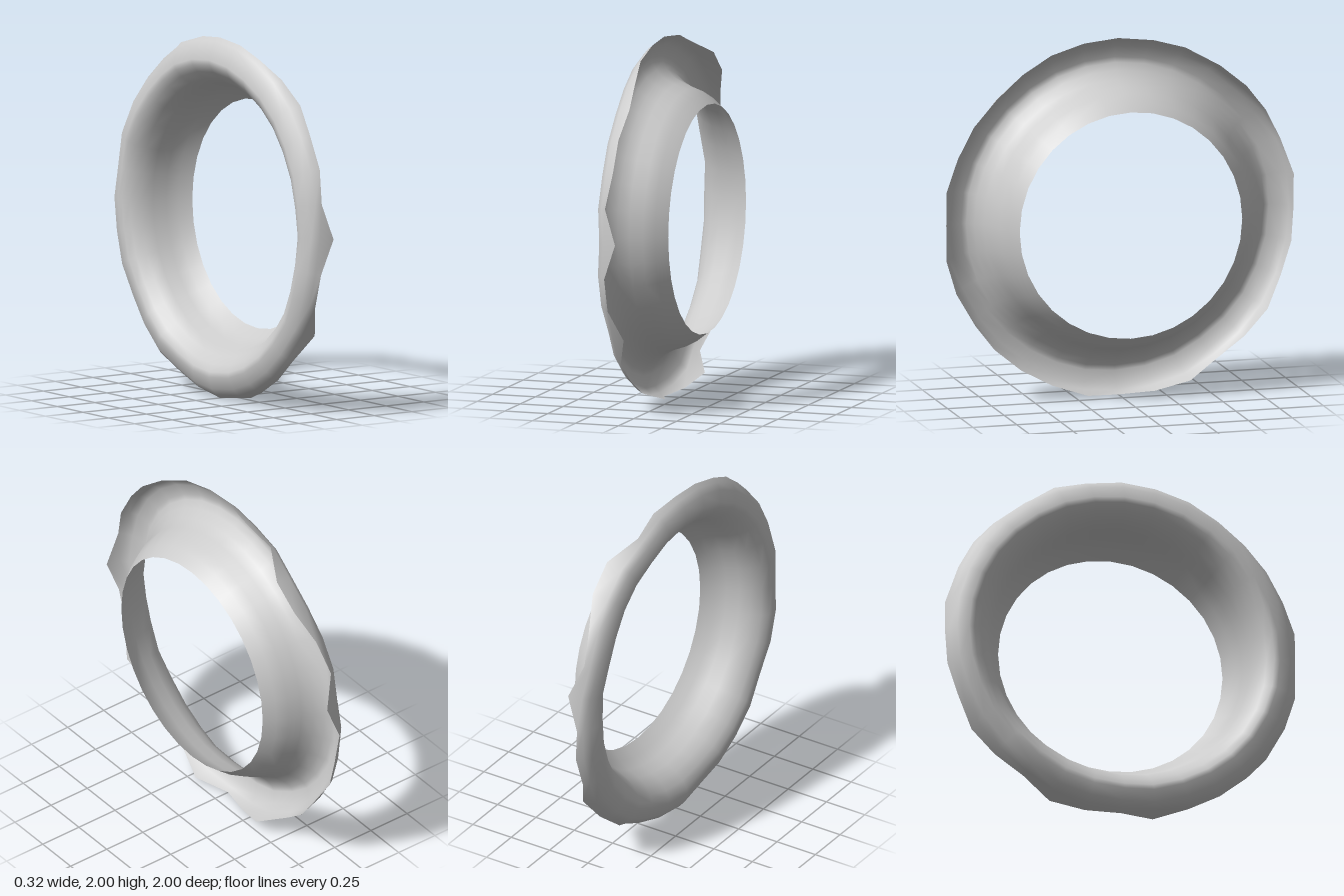
import * as THREE from 'three';

// Ring cross-section as [x, radius], from the collar's open end out to the flange shoulder
const PROFILE = [
  [0.16, 0.635], [0.10, 0.682], [0.04, 0.714], [-0.03, 0.738], [-0.09, 0.768],
  [-0.135, 0.81], [-0.16, 0.85], [-0.165, 0.88], [-0.145, 0.945], [-0.115, 0.98],
];
// How strongly each profile ring follows the uneven rim
const FOLLOW = [0, 0, 0, 0, 0.05, 0.1, 0.15, 0.17, 0.2, 0.25];

// x of the ragged outer rim, clockwise from the top towards +z
const RIM = [
  -0.09, -0.09, -0.09, -0.06, -0.04, -0.06, -0.06, -0.085,
  -0.02, -0.09, -0.09, -0.03, -0.09, -0.085, -0.075, -0.015,
  -0.09, -0.04, 0.01, -0.08, -0.05, -0.02, -0.08, -0.07,
  -0.09, -0.02, -0.09, -0.06, -0.005, 0, -0.09, -0.07,
];

function raggedRing() {
  const sides = RIM.length;
  const positions = [];
  const indices = [];
  const rings = PROFILE.length + 1;
  for (let j = 0; j < rings; j++) {
    for (let i = 0; i < sides; i++) {
      const a = (i / sides) * Math.PI * 2;
      const last = j === rings - 1;
      const r = last ? 1 : PROFILE[j][1];
      const x = last ? RIM[i] : PROFILE[j][0] + FOLLOW[j] * (RIM[i] + 0.09);
      positions.push(x, 1 + r * Math.cos(a), r * Math.sin(a));
      if (!last) {
        const n = (i + 1) % sides;
        const p = j * sides + i, q = j * sides + n;
        indices.push(p, p + sides, q, q, p + sides, q + sides);
      }
    }
  }
  const geometry = new THREE.BufferGeometry();
  geometry.setAttribute('position', new THREE.Float32BufferAttribute(positions, 3));
  geometry.setIndex(indices);
  geometry.computeVertexNormals();
  return geometry;
}

export function createModel() {
  const group = new THREE.Group();
  group.name = 'flaredRing';

  // Thin collar flaring into a rolled flange with a torn edge
  const material = new THREE.MeshStandardMaterial({ color: 0xcccccc, side: THREE.DoubleSide });
  const ring = new THREE.Mesh(raggedRing(), material);
  ring.name = 'collarAndFlange';
  group.add(ring);
  return group;
}
